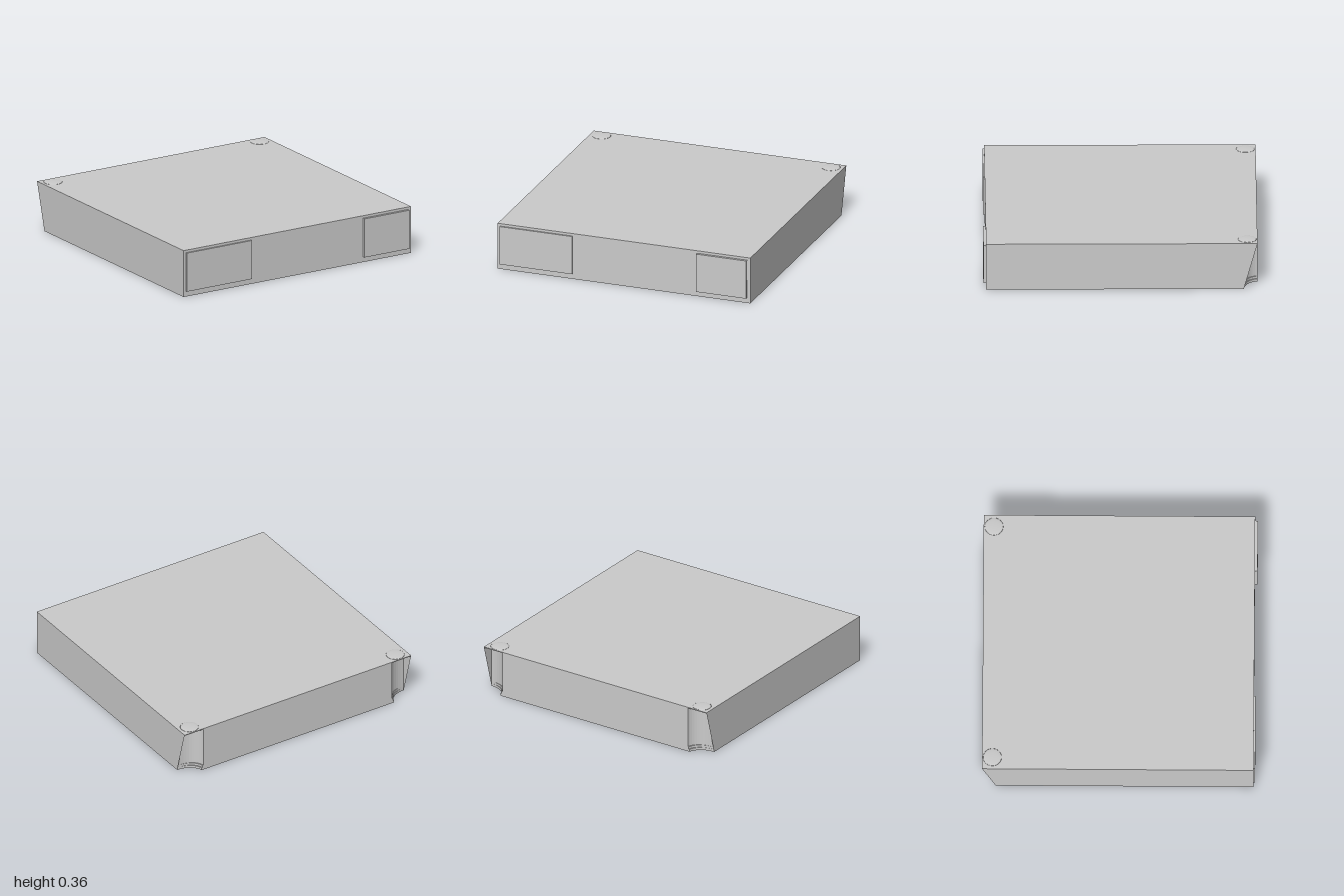
import * as THREE from 'three';

const W = 0.985, TOP = 0.355, BACK = -1, FRONT = 0.98;
const SIDE_END = -0.9;   // where the side walls end at floor level
const NOTCH_X = 0.82;    // where the back wall turns into the corner recess

const material = new THREE.MeshStandardMaterial({ color: 0xcccccc });
const thin = new THREE.MeshStandardMaterial({ color: 0xcccccc, side: THREE.DoubleSide });

function add(parent, name, geometry, x = 0, y = 0, z = 0, mat = material) {
  const mesh = new THREE.Mesh(geometry, mat);
  mesh.name = name;
  mesh.position.set(x, y, z);
  parent.add(mesh);
  return mesh;
}

// Plan outline with a concave recess in both back corners; fill makes them shallower
function outline(fill) {
  const s = new THREE.Shape();
  const nx = NOTCH_X + fill, nz = SIDE_END - fill * 0.5;
  s.moveTo(-W, FRONT);
  s.lineTo(-W, SIDE_END);
  s.quadraticCurveTo(-nx - 0.025, nz, -nx, BACK);
  s.lineTo(nx, BACK);
  s.quadraticCurveTo(nx + 0.025, nz, W, SIDE_END);
  s.lineTo(W, FRONT);
  s.closePath();
  return s;
}

// Extrudes a plan shape downwards from its mesh position
function slab(shape, depth) {
  const g = new THREE.ExtrudeGeometry(shape, { depth, bevelEnabled: false, curveSegments: 10 });
  return g.rotateX(Math.PI / 2);
}

export function createModel() {
  const model = new THREE.Group();
  model.name = 'flatCase';

  // Main case, with stepped feet at the base of the corner recesses
  add(model, 'caseBody', slab(outline(0), TOP - 0.003), 0, TOP - 0.003);
  add(model, 'recessFootUpper', slab(outline(0.008), 0.038), 0, 0.038);
  add(model, 'recessFootLower', slab(outline(0.016), 0.02), 0, 0.02);

  // Lid overhanging the recesses
  add(model, 'topPlate', new THREE.BoxGeometry(2 * W, 0.006, FRONT - BACK),
    0, TOP - 0.003, (FRONT + BACK) / 2);

  for (const side of [-1, 1]) {
    // Side wall flange, slanting from the lid's back corner to the floor
    const flange = new THREE.Shape([
      new THREE.Vector2(SIDE_END, 0),
      new THREE.Vector2(SIDE_END, TOP),
      new THREE.Vector2(BACK, TOP),
    ]);
    const g = new THREE.ShapeGeometry(flange).rotateY(-Math.PI / 2);
    add(model, side < 0 ? 'rightFlange' : 'leftFlange', g, side * W, 0, 0, thin);

    // Shallow swelling in the lid above the recess
    const dome = new THREE.SphereGeometry(0.068, 24, 6, 0, Math.PI * 2, 0, Math.PI / 2);
    dome.scale(1, 0.08, 1);
    add(model, side < 0 ? 'rightLidBump' : 'leftLidBump', dome, side * 0.895, TOP, -0.925);
  }

  // Raised front panels
  add(model, 'wideFrontPanel', new THREE.BoxGeometry(0.565, 0.295, 0.012), -0.682, 0.188, FRONT + 0.006);
  add(model, 'narrowFrontPanel', new THREE.BoxGeometry(0.388, 0.295, 0.02), 0.765, 0.188, FRONT + 0.01);
  add(model, 'panelEdgeStep', new THREE.BoxGeometry(0.008, 0.155, 0.006), 0.961, 0.258, FRONT + 0.003);

  return model;
}
